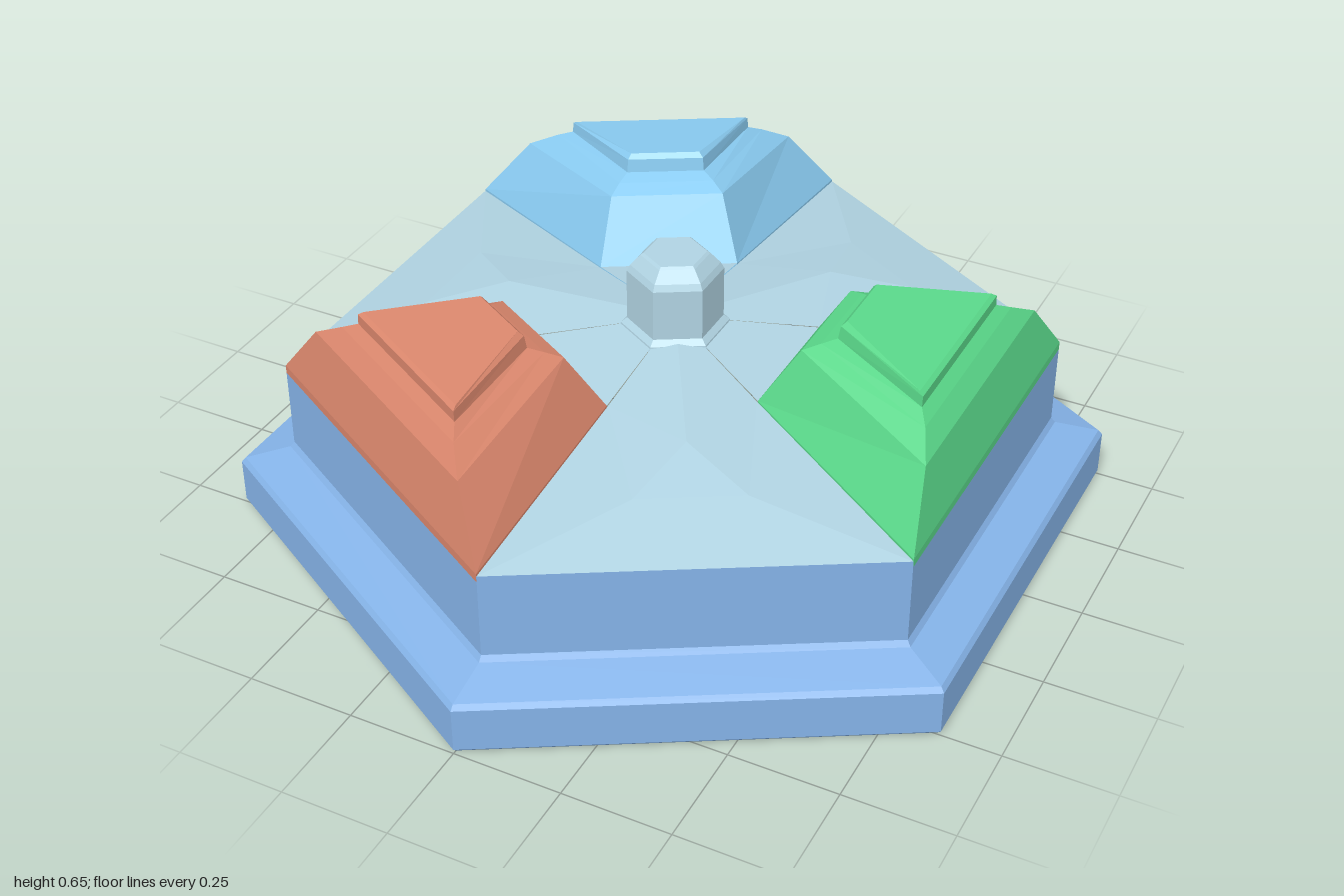
import * as THREE from 'three';

const mat = (color) => new THREE.MeshStandardMaterial({ color, flatShading: true });

// Faceted mesh from corner points and triangles
function facets(name, points, tris, material) {
  const g = new THREE.BufferGeometry();
  g.setAttribute('position', new THREE.Float32BufferAttribute(points.flat(), 3));
  g.setIndex(tris.flat());
  const flat = g.toNonIndexed();
  flat.computeVertexNormals();
  const m = new THREE.Mesh(flat, material);
  m.name = name;
  return m;
}

// Six-sided turned part from [radius, height] pairs
function hexLathe(name, profile, material) {
  const g = new THREE.LatheGeometry(profile.map(([r, y]) => new THREE.Vector2(r, y)), 6);
  const m = new THREE.Mesh(g, material);
  m.name = name;
  return m;
}

// Button: stacked trapezoids, each [inner x, inner z, inner y, outer x, outer z, outer y]
const BUTTON_RINGS = [
  [0.28, 0.16, 0.38, 0.758, 0.437, 0.36],
  [0.28, 0.16, 0.44, 0.758, 0.437, 0.38],
  [0.365, 0.13, 0.58, 0.727, 0.32, 0.525],
  [0.4, 0.11, 0.595, 0.695, 0.25, 0.565],
  [0.43, 0.09, 0.606, 0.672, 0.214, 0.585],
  [0.435, 0.088, 0.637, 0.672, 0.212, 0.61],
  [0.445, 0.08, 0.648, 0.662, 0.204, 0.617],
];

function button(name, color) {
  const pts = BUTTON_RINGS.flatMap(([xi, zi, yi, xo, zo, yo]) => [
    [xi, yi, -zi], [xo, yo, -zo], [xo, yo, zo], [xi, yi, zi],
  ]);
  const tris = [];
  for (let i = 0; i < BUTTON_RINGS.length - 1; i++) {
    for (let j = 0; j < 4; j++) {
      const a = i * 4 + j, b = i * 4 + ((j + 1) % 4);
      tris.push([a, a + 4, b], [a + 4, b + 4, b]);
    }
  }
  const t = pts.length - 4;
  tris.push([t, t + 3, t + 2], [t, t + 2, t + 1]);
  return facets(name, pts, tris, mat(color));
}

export function createModel() {
  const model = new THREE.Group();
  const topMat = mat(0xb0d3e2);

  // Stepped hexagonal base
  model.add(hexLathe('base', [
    [0, 0], [0.99, 0], [1, 0.01], [1, 0.115], [0.99, 0.127],
    [0.885, 0.155], [0.875, 0.168], [0.875, 0.375],
  ], mat(0x85b3e8)));

  // Deck: three open mounds alternating with three button sectors
  const deck = [
    [0, 0.482, 0],
    [0.28, 0.44, 0.16], [0.28, 0.44, -0.16],
    [0.43, 0.45, 0],
    [0.58, 0.418, 0.12], [0.58, 0.418, -0.12],
    [0.758, 0.375, 0.4375], [0.758, 0.375, -0.4375],
  ];
  const moundFaces = [
    [0, 1, 3], [0, 3, 2], [1, 4, 3], [3, 4, 5], [2, 3, 5],
    [1, 6, 4], [2, 5, 7], [4, 6, 7], [4, 7, 5],
  ];
  const buttons = [['greenButton', 0x5ad88a], ['blueButton', 0x8accf2], ['redButton', 0xd9866c]];
  buttons.forEach(([name, color], i) => {
    const sector = new THREE.Group();
    sector.name = name + 'Sector';
    sector.rotation.y = (i * 2 * Math.PI) / 3;
    const mound = facets('deckMound', deck, moundFaces, topMat);
    mound.rotation.y = Math.PI / 3;
    sector.add(button(name, color), facets('deckCentre', deck, [[0, 1, 2]], topMat), mound);
    model.add(sector);
  });

  // Hexagonal centre knob
  model.add(hexLathe('knob', [
    [0.125, 0.455], [0.122, 0.47], [0.108, 0.482], [0.108, 0.605],
    [0.1, 0.62], [0.077, 0.645], [0.07, 0.65], [0, 0.65],
  ], topMat));

  return model;
}
